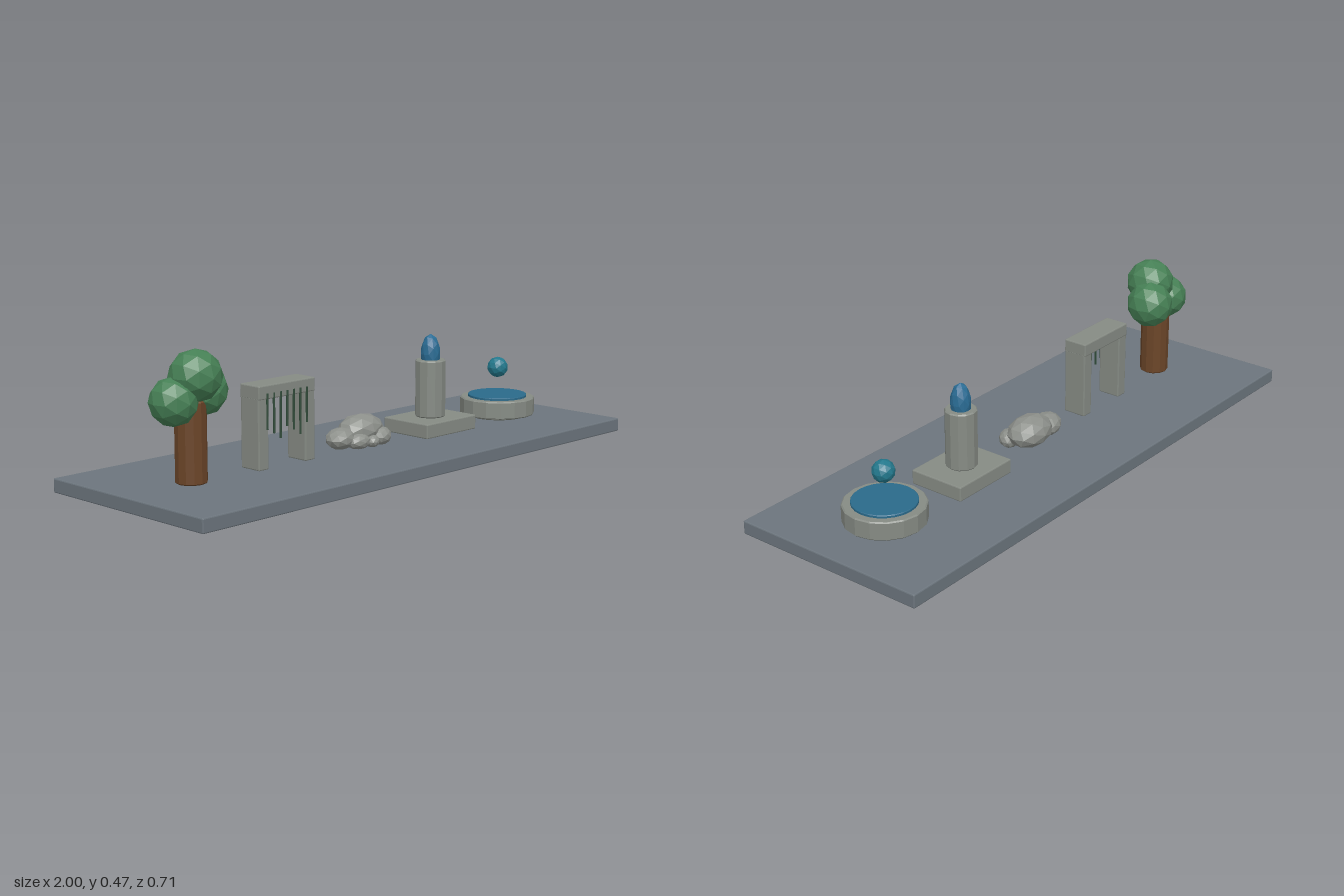
import * as THREE from 'three';
import { RoundedBoxGeometry } from 'three/addons/geometries/RoundedBoxGeometry.js';

const material = (color) => new THREE.MeshStandardMaterial({ color, flatShading: true });
const slate = material(0x6c757d), stone = material(0x868b84), rock = material(0x8d908b);
const bark = material(0x6b4528), leaf = material(0x468055), vine = material(0x2f4a38);
const water = material(0x2a6a8a), crystal = material(0x2a6c94), glow = material(0x23788c);

function add(parent, name, geometry, mat, x = 0, y = 0, z = 0) {
  const mesh = new THREE.Mesh(geometry, mat);
  mesh.name = name;
  mesh.position.set(x, y, z);
  parent.add(mesh);
  return mesh;
}

function section(parent, name, x) {
  const group = new THREE.Group();
  group.name = name;
  group.position.set(x, 0.047, 0);
  parent.add(group);
  return group;
}

// Faceted ellipsoid used for leaves, rocks and crystals
function blob(parent, name, mat, [x, y, z], [rx, ry, rz], turn = 0) {
  const mesh = add(parent, name, new THREE.IcosahedronGeometry(1, 1), mat, x, y, z);
  mesh.scale.set(rx, ry, rz);
  mesh.rotation.y = turn;
  return mesh;
}

// Box standing on height y
function block(parent, name, mat, w, h, d, x, y) {
  return add(parent, name, new RoundedBoxGeometry(w, h, d, 1, 0.004), mat, x, y + h / 2, 0);
}

// Solid of revolution with a small bevel, standing on height y
function drum(parent, name, mat, r, h, y, sides, bevel = 0.004) {
  const profile = [[0, 0], [r - bevel, 0], [r, bevel], [r, h - bevel], [r - bevel, h], [0, h]]
    .map(([a, b]) => new THREE.Vector2(a, b));
  return add(parent, name, new THREE.LatheGeometry(profile, sides), mat, 0, y, 0);
}

export function createModel() {
  const model = new THREE.Group();
  model.name = 'gardenDisplay';

  // Base slab
  block(model, 'baseSlab', slate, 2, 0.047, 0.71, 0, 0);

  // Tree
  const tree = section(model, 'tree', -0.738);
  drum(tree, 'trunk', bark, 0.051, 0.26, 0, 12);
  blob(tree, 'topFoliage', leaf, [0, 0.338, 0.027], [0.087, 0.084, 0.085]);
  blob(tree, 'leftFoliage', leaf, [0.062, 0.282, -0.016], [0.083, 0.084, 0.083]);
  blob(tree, 'rightFoliage', leaf, [-0.073, 0.265, 0.008], [0.078, 0.078, 0.078]);

  // Stone arch with hanging vines
  const arch = section(model, 'arch', -0.37);
  for (const s of [-1, 1]) block(arch, 'archPost', stone, 0.043, 0.235, 0.084, s * 0.1025, 0);
  block(arch, 'archLintel', stone, 0.248, 0.046, 0.088, 0, 0.228);
  [0.13, 0.115, 0.095, 0.13, 0.115, 0.095, 0.13].forEach((bottom, i) => {
    const length = 0.247 - bottom;
    add(arch, 'vine', new THREE.CylinderGeometry(0.004, 0.004, length, 6), vine,
      (i - 3) * 0.029, bottom + length / 2, 0.043);
  });

  // Rock pile
  const rocks = section(model, 'rockPile', 0);
  blob(rocks, 'largeRock', rock, [0.032, 0.05, -0.02], [0.092, 0.054, 0.067]);
  blob(rocks, 'mediumRock', rock, [-0.07, 0.034, -0.014], [0.062, 0.038, 0.05], 0.3);
  blob(rocks, 'smallRock', rock, [-0.022, 0.022, 0.024], [0.047, 0.028, 0.034]);
  blob(rocks, 'smallRock', rock, [0.082, 0.027, 0.028], [0.044, 0.032, 0.036], 0.5);
  blob(rocks, 'pebble', rock, [0.03, 0.018, 0.036], [0.034, 0.022, 0.026], 0.9);

  // Pedestal with crystal
  const pedestal = section(model, 'pedestal', 0.364);
  block(pedestal, 'plinth', stone, 0.257, 0.051, 0.204, 0, 0);
  drum(pedestal, 'column', stone, 0.054, 0.202, 0.051, 12);
  blob(pedestal, 'crystal', crystal, [0, 0.273, 0], [0.035, 0.07, 0.035]);

  // Fountain with floating orb
  const fountain = section(model, 'fountain', 0.733);
  drum(fountain, 'basinFoot', stone, 0.102, 0.012, 0, 16, 0.002);
  drum(fountain, 'basin', stone, 0.136, 0.064, 0.009, 16);
  drum(fountain, 'waterSurface', water, 0.107, 0.014, 0.068, 24, 0.002);
  blob(fountain, 'orb', glow, [0, 0.18, 0], [0.038, 0.038, 0.038]);

  return model;
}
